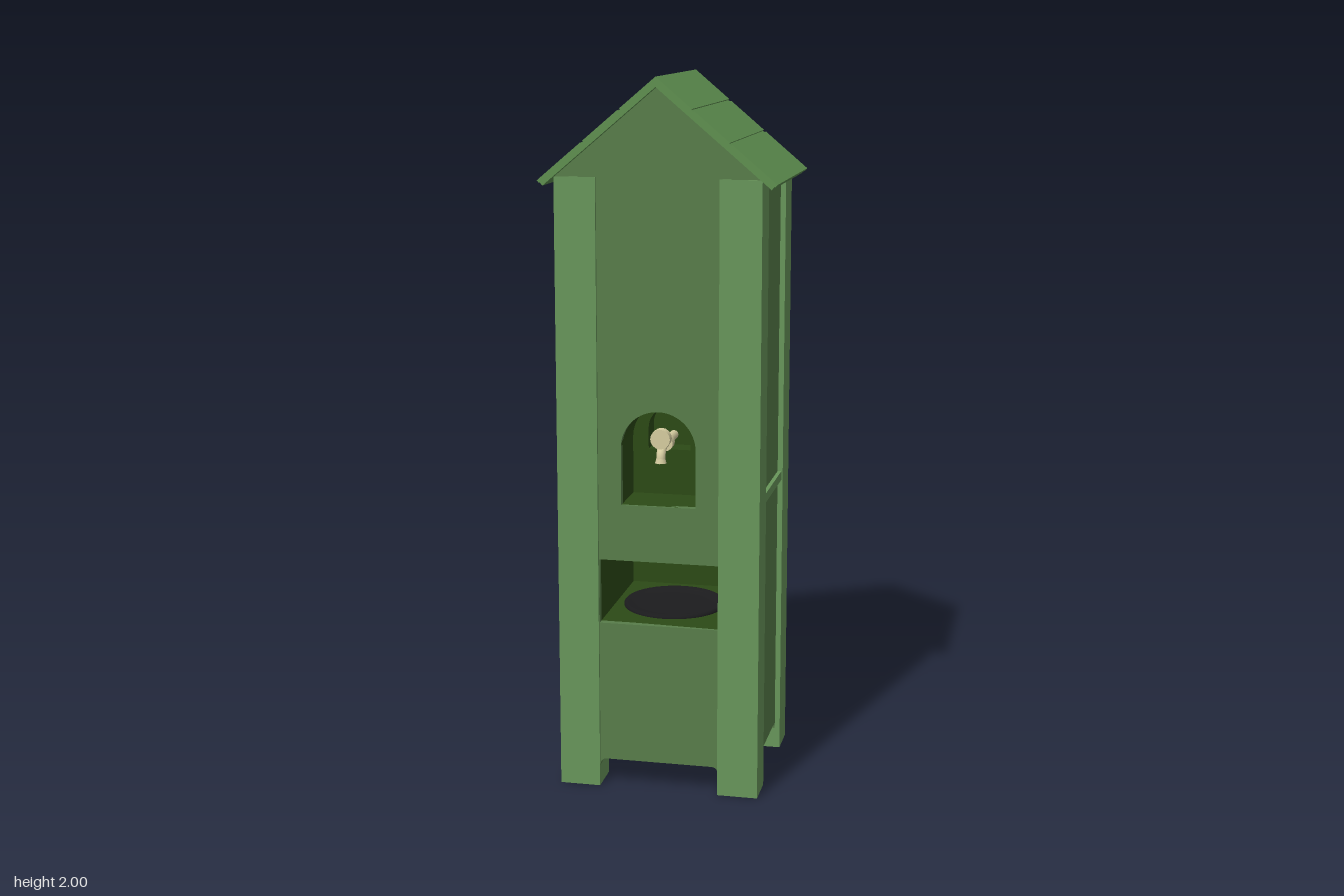
import * as THREE from 'three';

const mat = (color, side = THREE.FrontSide) => new THREE.MeshStandardMaterial({ color, side });
const postMat = mat(0x68965a);
const panelMat = mat(0x587d4a);
const roofMat = mat(0x5f9050);
const darkMat = mat(0x2c4a16, THREE.DoubleSide);
const cavityMat = mat(0x2c4a16, THREE.BackSide);
const bowlMat = mat(0x1c1c1e, THREE.DoubleSide);
const tapMat = mat(0xd6cda0);

const HX = 0.285, HZ = 0.25;      // outer half sizes of the body
const PX = 0.17, PZ = 0.145;      // inner edges of the corner posts
const EAVE = 1.733, SLOPE = 0.846;

function add(parent, name, geometry, material, x = 0, y = 0, z = 0) {
  const mesh = new THREE.Mesh(geometry, material);
  mesh.name = name;
  mesh.position.set(x, y, z);
  parent.add(mesh);
  return mesh;
}

const extrude = (shape, depth) =>
  new THREE.ExtrudeGeometry(shape, { depth, bevelEnabled: false, curveSegments: 16 });

// Round-topped opening, y0 to the crown y1
function arch(w, y0, y1, Type = THREE.Shape) {
  const p = new Type();
  const r = Math.min(w, y1 - y0);
  p.moveTo(-w, y0);
  p.lineTo(w, y0);
  p.lineTo(w, y1 - r);
  p.absarc(0, y1 - r, r, 0, Math.PI, false);
  p.lineTo(-w, y0);
  return p;
}

// Wall panel whose lower corners curve down into the legs
function panelShape(w, top) {
  const s = new THREE.Shape(), y = 0.08, r = 0.02;
  s.moveTo(-w, y - r);
  s.quadraticCurveTo(-w, y, -w + r, y);
  s.lineTo(w - r, y);
  s.quadraticCurveTo(w, y, w, y - r);
  s.lineTo(w, top);
  s.lineTo(-w, top);
  return s;
}

function rectHole(x, y0, y1) {
  const p = new THREE.Path();
  p.moveTo(-x, y0);
  p.lineTo(-x, y1);
  p.lineTo(x, y1);
  p.lineTo(x, y0);
  p.closePath();
  return p;
}

function buildBody(g) {
  // Corner posts
  for (const sx of [-1, 1]) for (const sz of [-1, 1]) {
    add(g, 'cornerPost', new THREE.BoxGeometry(HX - PX, EAVE, HZ - PZ), postMat,
      sx * (HX + PX) / 2, EAVE / 2, sz * (HZ + PZ) / 2);
  }
  // Front panel with tap niche and basin opening
  const front = panelShape(PX, EAVE);
  front.holes.push(arch(0.105, 0.83, 1.097, THREE.Path), rectHole(PX - 0.001, 0.485, 0.67));
  add(g, 'frontPanel', extrude(front, 0.02), panelMat, 0, 0, 0.222);
  const back = add(g, 'backPanel', extrude(panelShape(PX, EAVE), 0.02), panelMat, 0, 0, -0.222);
  back.rotation.y = Math.PI;
  // Side panels and their middle rails
  for (const s of [-1, 1]) {
    const side = add(g, 'sidePanel', extrude(panelShape(PZ, EAVE), 0.02), panelMat, s * 0.25, 0, 0);
    side.rotation.y = s * Math.PI / 2;
    add(g, 'sideRail', new THREE.BoxGeometry(0.015, 0.026, PZ * 2), postMat, s * 0.2735, 0.841, 0);
  }
  add(g, 'floor', new THREE.BoxGeometry(0.54, 0.02, 0.46), panelMat, 0, 0.091, 0);
}

function buildNiche(g) {
  // Niche lining, back wall and smaller alcove
  const lining = arch(0.108, 0.827, 1.1);
  lining.holes.push(arch(0.105, 0.83, 1.097, THREE.Path));
  add(g, 'nicheLining', extrude(lining, 0.145), darkMat, 0, 0, 0.09);
  const wall = arch(0.107, 0.828, 1.099);
  wall.holes.push(arch(0.06, 0.96, 1.08, THREE.Path));
  add(g, 'nicheBack', extrude(wall, 0.01), darkMat, 0, 0, 0.085);
  add(g, 'alcove', extrude(arch(0.06, 0.96, 1.08), 0.06), cavityMat, 0, 0, 0.03);

  // Tap: pipe, down-turned spout and knob
  const tap = new THREE.Group();
  tap.name = 'tap';
  const path = new THREE.CatmullRomCurve3([
    [0.035, 0.99], [0.13, 0.99], [0.185, 0.988], [0.205, 0.97], [0.208, 0.948],
  ].map(([z, y]) => new THREE.Vector3(0, y, z)));
  add(tap, 'spout', new THREE.TubeGeometry(path, 24, 0.013, 12), tapMat);
  const tip = add(tap, 'spoutEnd', new THREE.CylinderGeometry(0.013, 0.016, 0.012, 12), tapMat, 0, 0.953, 0.208);
  tip.name = 'spoutEnd';
  const knob = add(tap, 'knob', new THREE.CylinderGeometry(0.028, 0.028, 0.025, 16), tapMat, 0, 1.015, 0.205);
  knob.rotation.x = Math.PI / 2;
  const collar = add(tap, 'collar', new THREE.CylinderGeometry(0.022, 0.022, 0.03, 16), tapMat, 0, 0.99, 0.14);
  collar.rotation.x = Math.PI / 2;
  g.add(tap);
}

function buildBasin(g) {
  // Open compartment with a round bowl in its floor
  const back = -0.17, front = 0.235;
  add(g, 'basinCompartment', new THREE.BoxGeometry(PX * 2 - 0.002, 0.185, front - back), cavityMat,
    0, 0.5775, (front + back) / 2);
  const profile = [[0, 0.002], [0.1, 0.003], [0.13, 0.006], [0.14, 0.012], [0.145, 0.006], [0.145, 0]]
    .map(([r, y]) => new THREE.Vector2(r, y));
  add(g, 'bowl', new THREE.LatheGeometry(profile, 40), bowlMat, 0, 0.486, 0.03);
}

function buildRoof(g) {
  // Gable ends
  const tri = new THREE.Shape();
  tri.moveTo(-HX, EAVE);
  tri.lineTo(HX, EAVE);
  tri.lineTo(0, EAVE + HX * SLOPE);
  add(g, 'gable', extrude(tri, 2 * HZ - 0.01), panelMat, 0, 0, -HZ + 0.005);

  // Three boards per slope over a thin backing sheet
  const slab = (x0, x1, top, bottom) => {
    const s = new THREE.Shape();
    const y = (x) => 2 - SLOPE * x;
    // Ends are cut square to the slope, except at the ridge
    const cut = (d) => (x) => (x === 0 ? 0 : -d * SLOPE / (1 + SLOPE * SLOPE));
    const pt = (x, d) => {
      const px = x + cut(d)(x);
      return [px, y(px) - d];
    };
    s.moveTo(...pt(x0, bottom));
    s.lineTo(...pt(x1, bottom));
    s.lineTo(...pt(x1, top));
    s.lineTo(...pt(x0, top));
    return s;
  };
  const half = new THREE.Group();
  half.name = 'roofSlope';
  const D = 0.53;
  add(half, 'roofSheet', extrude(slab(0, 0.325, 0.005, 0.027), D), roofMat, 0, 0, -D / 2);
  for (const [a, b] of [[0, 0.098], [0.104, 0.2], [0.206, 0.327]]) {
    add(half, 'roofBoard', extrude(slab(a, b, 0, 0.012), D), roofMat, 0, 0, -D / 2);
  }
  const other = half.clone();
  other.rotation.y = Math.PI;
  g.add(half, other);
}

export function createModel() {
  const g = new THREE.Group();
  g.name = 'waterKiosk';
  buildBody(g);
  buildNiche(g);
  buildBasin(g);
  buildRoof(g);
  return g;
}
